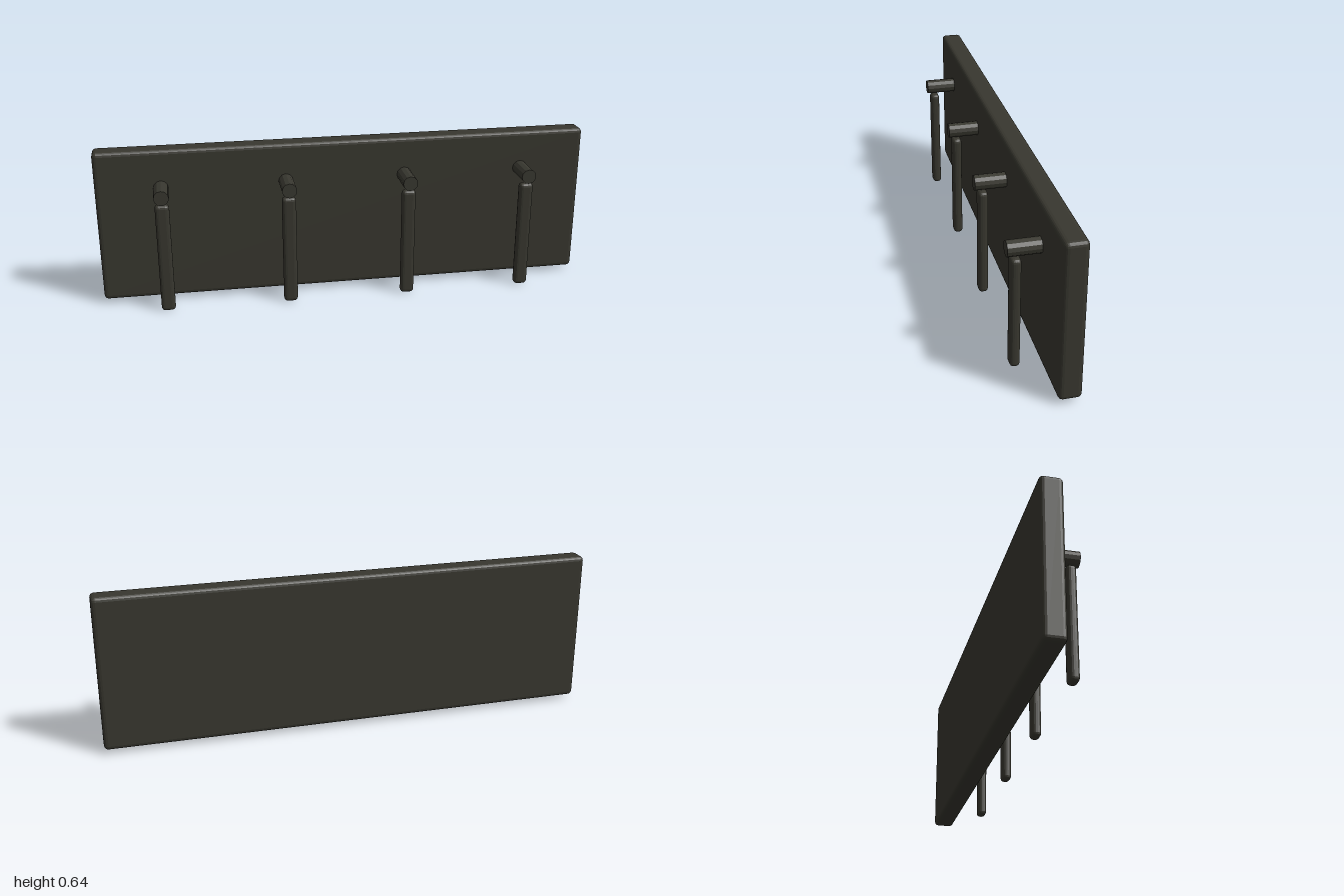
import * as THREE from 'three';
import { RoundedBoxGeometry } from 'three/addons/geometries/RoundedBoxGeometry.js';

// Give every face its own flat normal
function faceted(geometry) {
  const flat = geometry.index ? geometry.toNonIndexed() : geometry;
  flat.computeVertexNormals();
  return flat;
}

export function createModel() {
  const group = new THREE.Group();
  group.name = 'wallRack';
  const darkMetal = new THREE.MeshStandardMaterial({ color: 0x38372f });
  darkMetal.name = 'dark metal';

  const add = (name, geometry, x, y, z) => {
    const mesh = new THREE.Mesh(geometry, darkMetal);
    mesh.name = name;
    mesh.position.set(x, y, z);
    group.add(mesh);
  };

  // Wide backing board with softened edges
  add('backBoard', faceted(new RoundedBoxGeometry(2, 0.626, 0.086, 2, 0.017)), 0, 0.331, -0.062);

  // Short pegs pointing forward, each with an upright bar hanging below it
  const pegGeometry = faceted(new THREE.CylinderGeometry(0.03, 0.03, 0.13, 12).rotateX(Math.PI / 2));
  const barGeometry = faceted(new RoundedBoxGeometry(0.056, 0.453, 0.038, 2, 0.015));
  [-0.743, -0.246, 0.241, 0.735].forEach((x, i) => {
    add(`peg${i + 1}`, pegGeometry, x, 0.489, 0.04);
    add(`hangingBar${i + 1}`, barGeometry, x, 0.2265, 0.071);
  });

  return group;
}
